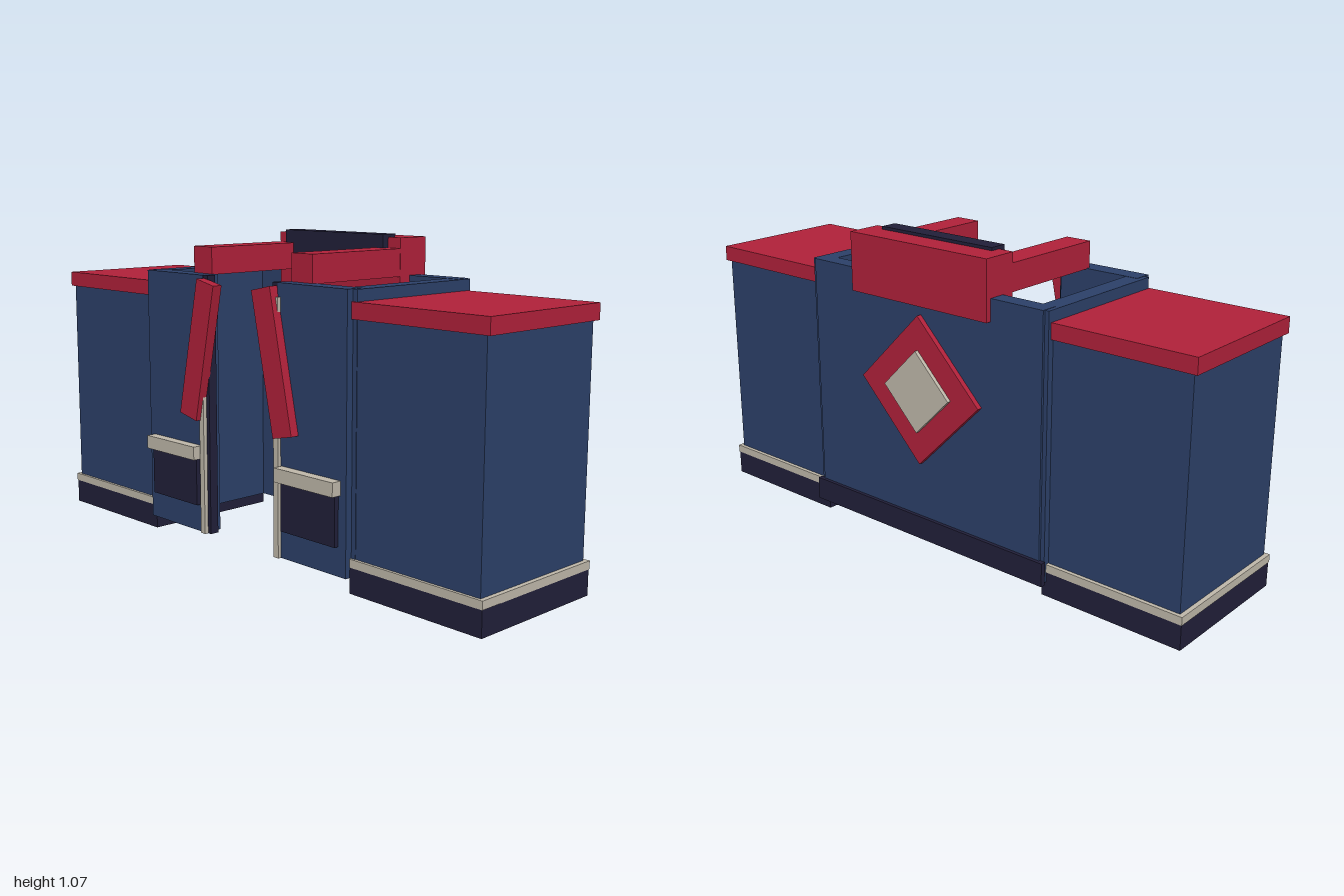
import * as THREE from 'three';

const material = (name, color) => {
  const m = new THREE.MeshStandardMaterial({ color });
  m.name = name;
  return m;
};

export function createModel() {
  const navy = material('navy cloth', 0x2c4069);
  const red = material('red trim', 0xb0213a);
  const dark = material('dark cloth', 0x211f39);
  const cream = material('cream trim', 0xbfb8aa);

  const jacket = new THREE.Group();
  jacket.name = 'jacket';

  // Box given by its extents along each axis, optionally turned about z
  function box(name, mat, [x0, x1], [y0, y1], [z0, z1], turn = 0) {
    const mesh = new THREE.Mesh(new THREE.BoxGeometry(x1 - x0, y1 - y0, z1 - z0), mat);
    mesh.position.set((x0 + x1) / 2, (y0 + y1) / 2, (z0 + z1) / 2);
    mesh.rotation.z = turn;
    mesh.name = name;
    jacket.add(mesh);
  }

  // Same box on both sides of the jacket
  function pair(name, mat, [x0, x1], y, z, turn = 0) {
    box('left' + name, mat, [x0, x1], y, z, turn);
    box('right' + name, mat, [-x1, -x0], y, z, -turn);
  }

  // Hollow body: back, sides and open front
  box('backPanel', navy, [-0.49, 0.49], [0.05, 0.935], [-0.278, -0.22]);
  pair('SidePanel', navy, [0.443, 0.505], [0.05, 0.934], [-0.27, 0.25]);
  pair('FrontPanel', navy, [0.185, 0.488], [0.05, 0.935], [0.21, 0.274]);
  box('backHem', dark, [-0.51, 0.51], [0.045, 0.125], [-0.29, -0.272]);

  // Front opening
  pair('OpeningEdge', dark, [0.16, 0.19], [0.05, 0.935], [0.24, 0.272]);
  pair('Zip', cream, [0.175, 0.197], [0.05, 0.89], [0.26, 0.286]);

  // Pockets
  pair('Pocket', dark, [0.212, 0.455], [0.145, 0.315], [0.265, 0.29]);
  pair('PocketFlap', cream, [0.202, 0.464], [0.308, 0.354], [0.27, 0.309]);

  // Sleeves with shoulder caps and cuffs
  pair('Sleeve', navy, [0.49, 0.985], [0.1, 0.85], [-0.248, 0.248]);
  pair('ShoulderCap', red, [0.488, 1], [0.845, 0.897], [-0.259, 0.256]);
  pair('Cuff', dark, [0.488, 0.998], [0, 0.084], [-0.259, 0.256]);
  pair('CuffTrim', cream, [0.488, 1], [0.084, 0.111], [-0.261, 0.258]);

  // Collar and lapels
  box('collarBack', red, [-0.29, 0.29], [0.862, 1.06], [-0.298, -0.174]);
  box('collarLining', dark, [-0.235, 0.235], [0.945, 1.07], [-0.208, -0.148]);
  pair('CollarSide', red, [0.195, 0.289], [0.933, 1.025], [-0.226, 0.225]);
  pair('Lapel', red, [0.142, 0.23], [0.449, 0.921], [0.268, 0.304], 0.21);

  // Diamond patch on the back
  box('backPatch', red, [-0.18, 0.18], [0.395, 0.755], [-0.296, -0.27], Math.PI / 4);
  box('backPatchCentre', cream, [-0.099, 0.099], [0.476, 0.674], [-0.309, -0.29], Math.PI / 4);

  return jacket;
}
